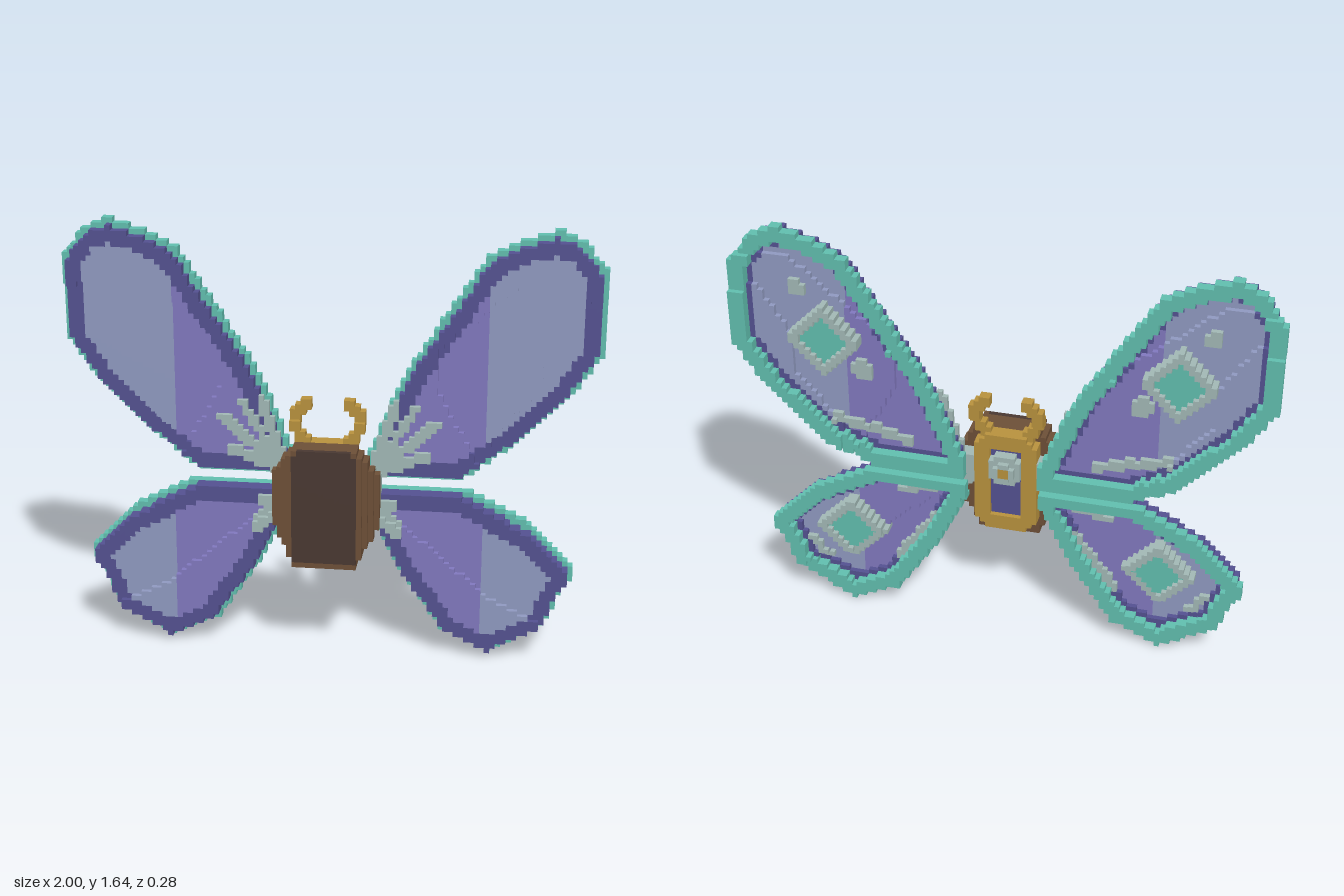
import * as THREE from 'three';

const S = 0.02; // edge of one cube
const palette = {
  teal: 0x62c0b0, darkViolet: 0x555292, violet: 0x8279c0, greyViolet: 0x919bc2,
  silver: 0xa3bab7, gold: 0xba933e, brown: 0x6e5038, darkBrown: 0x4a3932,
};
const names = Object.keys(palette);
const materials = names.map((name) => {
  const m = new THREE.MeshStandardMaterial({ color: palette[name] });
  m.name = name;
  return m;
});

// A set of coloured cubes, turned into one mesh of its exposed faces
class Cubes {
  constructor() { this.cells = new Map(); }
  set(i, j, k, color) { this.cells.set(`${i},${j},${k}`, [i, j, k, names.indexOf(color)]); }
  fill(i, j, k0, k1, color) { for (let k = k0; k < k1; k++) this.set(i, j, k, color); }
  mesh(name) {
    const lists = names.map(() => []);
    for (const [i, j, k, c] of this.cells.values()) {
      for (let axis = 0; axis < 3; axis++) for (const dir of [1, -1]) {
        const n = [i, j, k];
        n[axis] += dir;
        if (this.cells.has(n.join())) continue;
        const u = (axis + 1) % 3, v = (axis + 2) % 3;
        const ring = [[0, 0], [1, 0], [1, 1], [0, 1]];
        if (dir < 0) ring.reverse();
        const corners = ring.map(([a, b]) => {
          const p = [i, j, k];
          p[axis] += dir > 0 ? 1 : 0;
          p[u] += a;
          p[v] += b;
          return p.map((q) => q * S);
        });
        for (const q of [0, 1, 2, 0, 2, 3]) lists[c].push(...corners[q]);
      }
    }
    const geo = new THREE.BufferGeometry();
    let start = 0;
    lists.forEach((l, c) => {
      if (l.length) geo.addGroup(start, l.length / 3, c);
      start += l.length / 3;
    });
    geo.setAttribute('position', new THREE.Float32BufferAttribute(lists.flat(), 3));
    geo.computeVertexNormals();
    const mesh = new THREE.Mesh(geo, materials);
    mesh.name = name;
    return mesh;
  }
}

function inside(poly, x, y) {
  let hit = false;
  poly.forEach(([ax, ay], n) => {
    const [bx, by] = poly[(n + 1) % poly.length];
    if ((ay > y) !== (by > y) && x < ax + ((y - ay) * (bx - ax)) / (by - ay)) hit = !hit;
  });
  return hit;
}
function segmentDistance(x, y, ax, ay, bx, by) {
  const dx = bx - ax, dy = by - ay;
  const t = THREE.MathUtils.clamp(((x - ax) * dx + (y - ay) * dy) / (dx * dx + dy * dy), 0, 1);
  return Math.hypot(x - ax - t * dx, y - ay - t * dy);
}
const edgeDistance = (poly, x, y) => Math.min(...poly.map((a, n) =>
  segmentDistance(x, y, ...a, ...poly[(n + 1) % poly.length])));

// Outlines, stepped-back zones, and marks [ax, ay, bx, by, radius]
const upper = {
  outline: [[0.14, 0.69], [0.5, 0.69], [0.67, 0.8], [0.87, 0.99], [1, 1.18], [1, 1.48], [0.92, 1.59],
    [0.82, 1.635], [0.7, 1.6], [0.57, 1.54], [0.39, 1.26], [0.28, 1.09], [0.19, 0.88], [0.14, 0.75]],
  zones: [
    [[1.1, 1.53], [0.8, 1.53], [0.4, 1.2], [0.4, 1.03], [0.6, 0.68], [1.1, 0.68]],
    [[1.1, 1.35], [0.9, 1.4], [0.78, 1.2], [0.78, 1.05], [0.6, 0.85], [0.6, 0.68], [1.1, 0.68]]],
  front: -1, rim: 2, diamond: [0.65, 1.22],
  frontMarks: [[0.17, 0.74, 0.25, 0.98, 0.018], [0.17, 0.72, 0.4, 0.91, 0.02],
    [0.17, 0.71, 0.37, 0.79, 0.02], [0.18, 0.73, 0.32, 0.97, 0.015]],
  backMarks: [[0.36, 0.8, 0.62, 0.88, 0.018], [0.51, 1.09, 0.52, 1.1, 0.032], [0.75, 1.4, 0.76, 1.41, 0.025]],
};
const lower = {
  outline: [[0.14, 0.65], [0.5, 0.65], [0.58, 0.61], [0.75, 0.52], [0.87, 0.4], [0.935, 0.34], [0.88, 0.26],
    [0.83, 0.13], [0.78, 0.1], [0.61, 0.005], [0.43, 0.09], [0.27, 0.32], [0.18, 0.5], [0.14, 0.58]],
  zones: [[[0.1, 0.6], [0.3, 0.51], [0.62, 0.24], [0.85, 0.12], [1, 0.2], [1, 0.7], [0.1, 0.7]]],
  front: 2, rim: 3, diamond: [0.6, 0.35],
  frontMarks: [[0.17, 0.6, 0.26, 0.51, 0.025], [0.17, 0.62, 0.24, 0.6, 0.018]],
  backMarks: [[0.43, 0.22, 0.26, 0.45, 0.016], [0.4, 0.55, 0.22, 0.6, 0.016], [0.72, 0.17, 0.78, 0.25, 0.016]],
};

function makeWing(spec, side, name) {
  const cubes = new Cubes();
  for (let c = 6; c < 50; c++) for (let j = 0; j < 83; j++) {
    const x = (c + 0.5) * S, y = (j + 0.5) * S;
    if (!inside(spec.outline, x, y)) continue;
    const i = side > 0 ? c : -1 - c;
    const d = edgeDistance(spec.outline, x, y);
    const front = spec.front - spec.zones.filter((z) => inside(z, x, y)).length;
    const back = front - spec.rim;
    // Membrane, border and raised back rim
    if (d > 0.075) cubes.fill(i, j, front - 2, front, x > 0.58 ? 'greyViolet' : 'violet');
    else if (d > 0.02) cubes.fill(i, j, back, front, 'darkViolet');
    if (d < 0.055) cubes.fill(i, j, back - 2, back, 'teal');
    // Diamond and streaks on the back
    const r = Math.abs(x - spec.diamond[0]) + Math.abs(y - spec.diamond[1]);
    if (r < 0.1) cubes.fill(i, j, front - 4, front - 2, 'teal');
    else if (r < 0.14) cubes.fill(i, j, front - 5, front - 2, 'silver');
    const near = (marks) => marks.some(([ax, ay, bx, by, w]) => segmentDistance(x, y, ax, ay, bx, by) < w);
    if (d > 0.05 && near(spec.backMarks)) cubes.fill(i, j, front - 3, front - 2, 'silver');
    // Feathery streaks on the front
    if (near(spec.frontMarks)) cubes.fill(i, j, front, front + 1, 'silver');
  }
  return cubes.mesh(name);
}

// Half width of the body by height
const bodyProfile = [[0.38, 0.11], [0.43, 0.13], [0.5, 0.18], [0.54, 0.2], [0.72, 0.2], [0.78, 0.16], [0.84, 0.11]];
function bodyWidth(y) {
  const n = Math.max(1, bodyProfile.findIndex((p) => p[0] >= y));
  const [y0, w0] = bodyProfile[n - 1], [y1, w1] = bodyProfile[n];
  return THREE.MathUtils.mapLinear(y, y0, y1, w0, w1);
}

function makeBody() {
  const shell = new Cubes(), frame = new Cubes(), gem = new Cubes();
  for (let i = -10; i < 10; i++) for (let j = 19; j < 42; j++) {
    const x = Math.abs(i + 0.5) * S, y = (j + 0.5) * S;
    // Terraced front shell with a dark face
    for (let k = 2; k < 7; k++) {
      if (x > Math.min(bodyWidth(y), 0.2 - 0.02 * Math.max(0, k - 3))) continue;
      const face = k === 6 && x < 0.12 && x < bodyWidth(y) - 0.01 && j > 19;
      shell.set(i, j, k, face ? 'darkBrown' : 'brown');
    }
    // Gold frame around the back panel
    if (x < 0.12 && j > 20 && x + Math.abs(y - 0.63) < 0.29) {
      const panel = x < 0.06 && j > 23 && j < 39;
      frame.fill(i, j, panel ? 0 : -1, 2, panel ? 'darkViolet' : 'gold');
    }
    // Round gem
    const r = Math.hypot(x, y - 0.7);
    if (r < 0.065) gem.fill(i, j, r < 0.04 ? -3 : -2, 0, r < 0.02 ? 'gold' : 'silver');
  }
  return [shell.mesh('bodyShell'), frame.mesh('backFrame'), gem.mesh('backGem')];
}

function makeAntenna(side) {
  const cubes = new Cubes();
  const curve = new THREE.CatmullRomCurve3([[0.06, 0.82, 0.03], [0.1, 0.88, 0.025], [0.11, 0.94, 0.01], [0.075, 0.98, 0]]
    .map((p) => new THREE.Vector3(...p)));
  for (const p of curve.getPoints(40)) {
    const c = Math.floor(p.x / S), j = Math.floor(p.y / S), k = Math.floor(p.z / S);
    for (const a of [0, 1]) for (const b of [0, -1]) cubes.set(side > 0 ? c + a : -1 - c - a, j, k + b, 'gold');
  }
  return cubes.mesh(side > 0 ? 'leftAntenna' : 'rightAntenna');
}

// Joints between the body and the wing roots
function makeHinge(side) {
  const cubes = new Cubes();
  for (let c = 6; c < 10; c++) for (let j = 31; j < 37; j++) {
    if (c === 9 && (j === 31 || j === 36)) continue;
    cubes.fill(side > 0 ? c : -1 - c, j, -1, 2, 'silver');
  }
  return cubes.mesh(side > 0 ? 'leftHinge' : 'rightHinge');
}

export function createModel() {
  const model = new THREE.Group();
  model.name = 'butterfly';
  model.add(...makeBody());
  for (const side of [1, -1]) {
    const label = side > 0 ? 'left' : 'right';
    model.add(makeWing(upper, side, `${label}UpperWing`), makeWing(lower, side, `${label}LowerWing`),
      makeAntenna(side), makeHinge(side));
  }
  return model;
}
